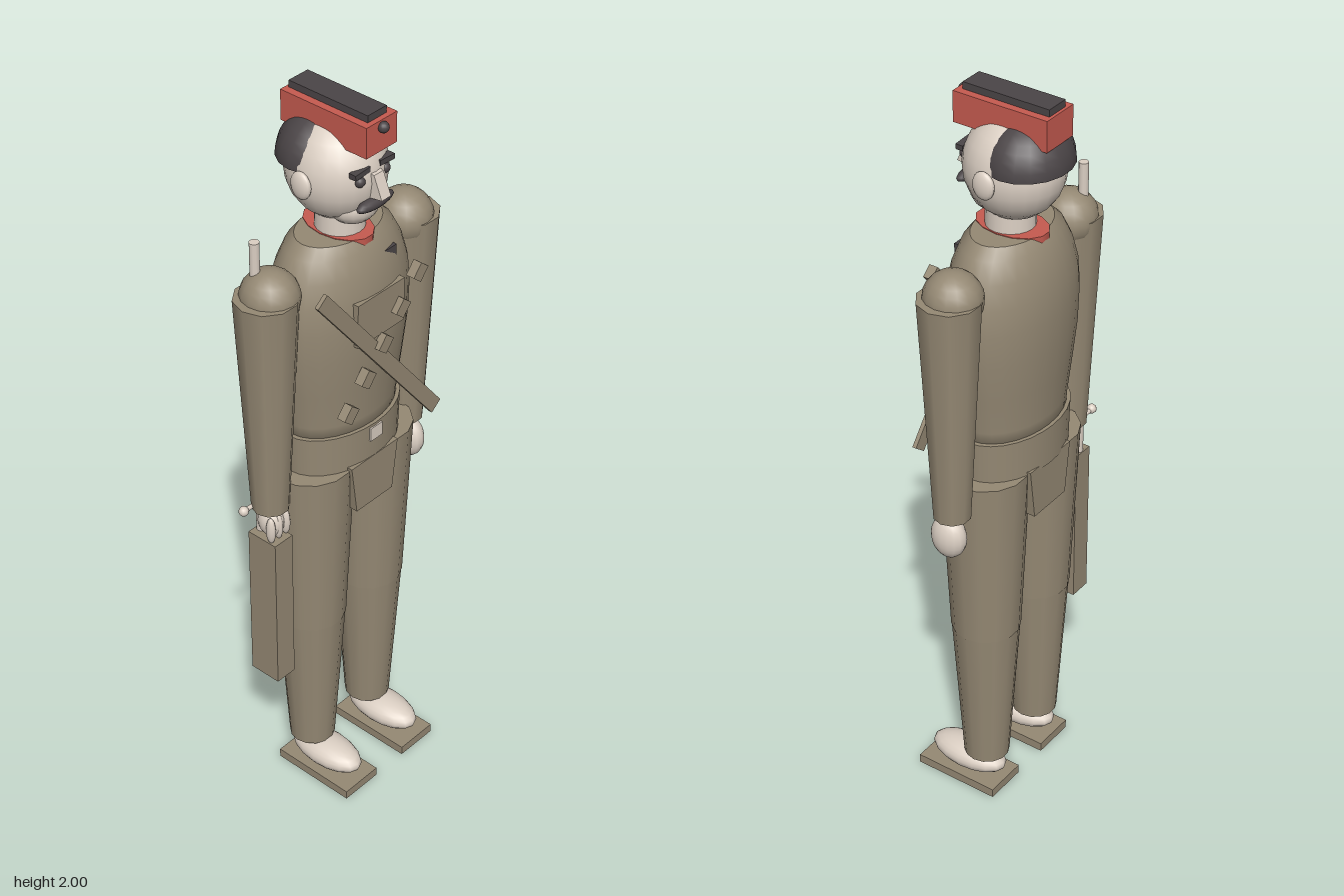
import * as THREE from 'three';

export function createModel() {
  const root = new THREE.Group();
  root.name = 'toySoldier';
  const mat = (name, color) => {
    const m = new THREE.MeshStandardMaterial({ color });
    m.name = name;
    return m;
  };
  const khaki = mat('khaki', 0x958974);
  const skin = mat('skin', 0xdbcfc3);
  const red = mat('red', 0xc65b50);
  const dark = mat('charcoal', 0x4b4547);

  const add = (name, geo, material, x, y, z) => {
    const m = new THREE.Mesh(geo, material);
    m.name = name;
    m.position.set(x, y, z);
    root.add(m);
    return m;
  };
  const box = (name, material, x, y, z, w, h, d) =>
    add(name, new THREE.BoxGeometry(w, h, d), material, x, y, z);
  const ball = (name, material, x, y, z, rx, ry, rz, seg = 16) =>
    add(name, new THREE.SphereGeometry(1, seg, 12).scale(rx, ry, rz), material, x, y, z);
  // upright tapered tube between two heights, with optional oval depth
  const tube = (name, material, x, z, y0, y1, r0, r1, seg = 20, depth = 1) =>
    add(name, new THREE.CylinderGeometry(r1, r0, y1 - y0, seg).rotateY(Math.PI / 2).scale(1, 1, depth),
      material, x, (y0 + y1) / 2, z);

  // legs, shoes, arms and ears, mirrored
  for (const s of [-1, 1]) {
    const side = s > 0 ? 'left' : 'right';
    box(side + 'Sole', khaki, s * 0.112, 0.0125, 0.046, 0.12, 0.025, 0.241);
    ball(side + 'Shoe', skin, s * 0.112, 0.063, 0.043, 0.056, 0.039, 0.113);
    tube(side + 'LowerLeg', khaki, s * 0.11, -0.012, 0.1, 0.54, 0.06, 0.089, 14);
    tube(side + 'UpperLeg', khaki, s * 0.11, -0.012, 0.53, 1.02, 0.09, 0.112, 14);
    ball(side + 'Shoulder', khaki, s * 0.236, 1.565, -0.015, 0.073, 0.073, 0.075);
    tube(side + 'Arm', khaki, s * 0.25, -0.014, 0.955, 1.572, 0.048, 0.08, 10);
    ball(side + 'Ear', skin, s * 0.122, 1.81, -0.02, 0.014, 0.036, 0.03);
    ball(side + 'Eye', dark, s * 0.043, 1.828, 0.088, 0.014, 0.014, 0.014);
    box(side + 'Eyebrow', dark, s * 0.042, 1.852, 0.088, 0.05, 0.014, 0.02).rotation.z = s * -0.06;
  }

  // crotch panel between the legs
  const crotch = new THREE.Shape([[-0.085, 1.03], [-0.066, 0.888], [0.066, 0.888], [0.085, 1.03]]
    .map(p => new THREE.Vector2(...p)));
  add('crotch', new THREE.ExtrudeGeometry(crotch, { depth: 0.235, bevelEnabled: false }), khaki, 0, 0, -0.13);

  // belt and torso
  tube('belt', khaki, 0, -0.015, 1.02, 1.13, 0.178, 0.182, 28, 0.67);
  box('buckle', skin, 0, 1.103, 0.102, 0.042, 0.038, 0.016);
  const torsoProfile = [[0, 1.1], [0.168, 1.1], [0.173, 1.16], [0.188, 1.26], [0.202, 1.36], [0.206, 1.45],
    [0.2, 1.52], [0.182, 1.58], [0.155, 1.63], [0.126, 1.655]].map(p => new THREE.Vector2(...p));
  add('torso', new THREE.LatheGeometry(torsoProfile, 28).scale(1, 1, 0.66), khaki, 0, 0, -0.015);
  tube('torsoTop', khaki, 0, -0.015, 1.645, 1.655, 0.126, 0.126, 28, 0.66);

  // neckerchief, neck
  tube('neckerchief', red, 0, -0.015, 1.57, 1.657, 0.064, 0.066, 14, 1.48);
  tube('neck', skin, 0, -0.01, 1.63, 1.72, 0.062, 0.06);

  // chest pocket, ribbon, strap and pouches
  box('chestPocket', khaki, 0, 1.46, 0.08, 0.165, 0.12, 0.082);
  box('ribbon', dark, 0.053, 1.582, 0.075, 0.06, 0.04, 0.038);
  box('strap', khaki, 0, 1.335, 0.119, 0.04, 0.67, 0.011).rotation.z = 0.67;
  for (let i = -2; i <= 2; i++) {
    box('pouch', khaki, i * 0.061, 1.378 + i * 0.072, 0.126, 0.042, 0.034, 0.024).rotation.z = 0.87;
  }

  // head with chin, nose and moustache
  ball('head', skin, 0, 1.815, -0.022, 0.12, 0.132, 0.126, 24);
  ball('chin', skin, 0, 1.735, 0.03, 0.066, 0.052, 0.062);
  const nose = new THREE.Shape([[0.08, 1.845], [0.108, 1.84], [0.132, 1.782], [0.08, 1.774]]
    .map(p => new THREE.Vector2(...p)));
  add('nose', new THREE.ExtrudeGeometry(nose, { depth: 0.032, bevelEnabled: false })
    .rotateY(-Math.PI / 2), skin, 0.016, 0, 0);
  ball('moustache', dark, 0, 1.76, 0.098, 0.062, 0.016, 0.018);

  // hair cap with flat underside
  add('hair', new THREE.SphereGeometry(1, 18, 8, 0, Math.PI * 2, 0, Math.PI / 2)
    .scale(0.12, 0.112, 0.107), dark, 0, 1.835, -0.061);
  add('hairUnderside', new THREE.CircleGeometry(1, 18).rotateX(Math.PI / 2)
    .scale(0.12, 1, 0.107), dark, 0, 1.835, -0.061);

  // cap
  box('cap', red, 0, 1.942, -0.015, 0.104, 0.08, 0.262);
  box('capTop', dark, 0, 1.989, -0.018, 0.064, 0.022, 0.24);
  ball('capButton', dark, 0, 1.965, 0.121, 0.014, 0.014, 0.014, 12);

  // left hand
  ball('leftHand', skin, 0.253, 0.89, -0.005, 0.036, 0.06, 0.049);
  ball('leftThumb', skin, 0.218, 0.905, 0.012, 0.014, 0.03, 0.016, 10);

  // right fist holding the case
  ball('rightHand', skin, -0.252, 0.91, -0.012, 0.03, 0.042, 0.036);
  for (let i = 0; i < 3; i++) {
    ball('rightFinger', skin, -0.278 + i * 0.026, 0.905, 0.012, 0.011, 0.038, 0.014, 10);
  }
  box('case', khaki, -0.255, 0.645, -0.012, 0.062, 0.45, 0.09);

  // rod along the arm with a crossbar at the wrist
  tube('rod', skin, -0.255, -0.043, 0.87, 1.712, 0.0125, 0.0125, 12);
  add('crossbar', new THREE.CylinderGeometry(0.006, 0.006, 0.11, 10).rotateZ(Math.PI / 2),
    skin, -0.263, 0.962, -0.04);
  for (const x of [-0.318, -0.21]) ball('crossbarKnob', skin, x, 0.963, -0.04, 0.013, 0.013, 0.013, 10);

  return root;
}
